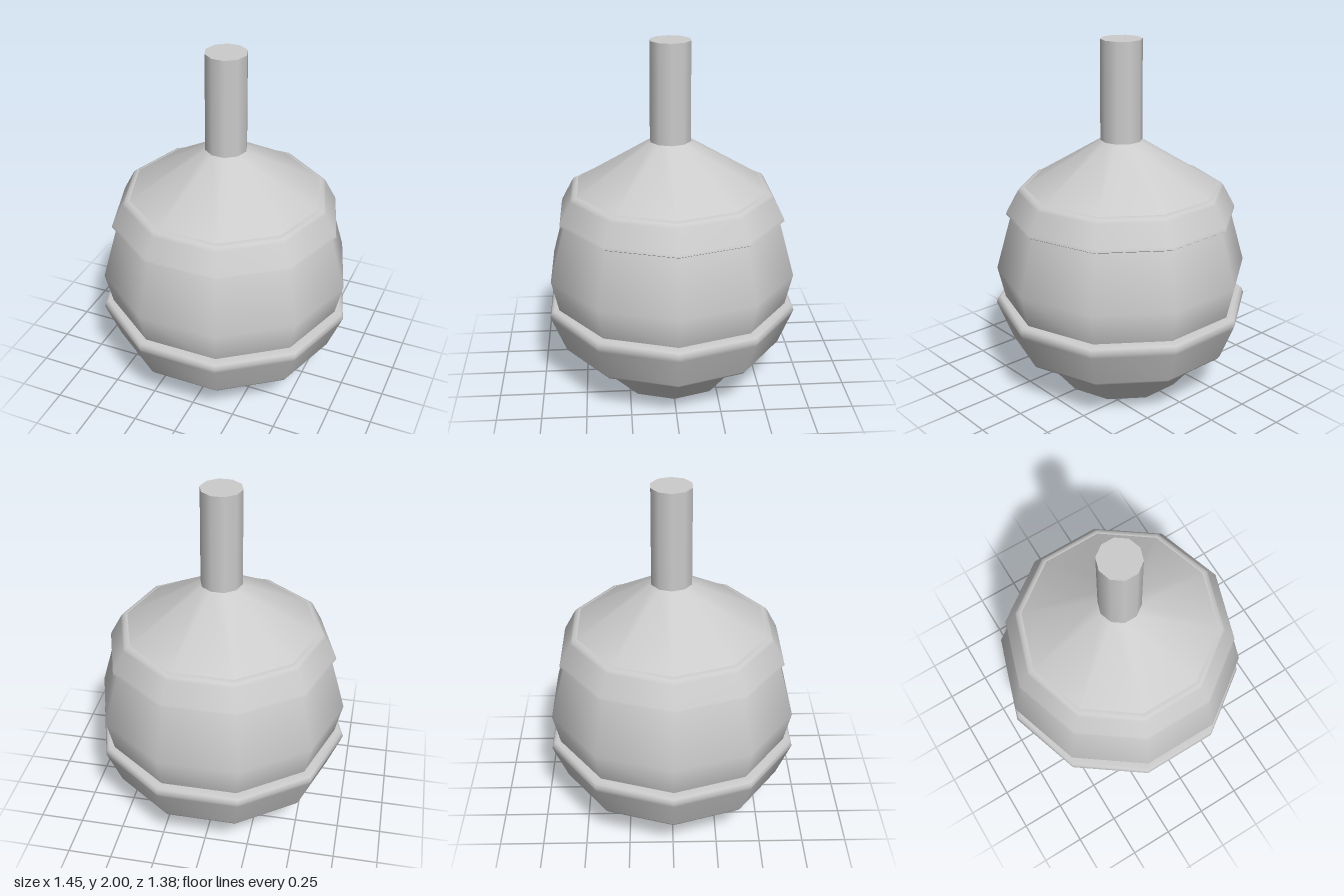
import * as THREE from 'three';

const SIDES = 10;

// Ten-sided turned part; profile is [radius, y], listed bottom to top on the outside.
function turned(name, profile) {
  const points = profile.map(([r, y]) => new THREE.Vector2(r, y));
  const geometry = new THREE.LatheGeometry(points, SIDES, Math.PI / 2);
  const material = new THREE.MeshStandardMaterial({ color: 0xcccccc });
  const mesh = new THREE.Mesh(geometry, material);
  mesh.name = name;
  return mesh;
}

export function createModel() {
  const group = new THREE.Group();
  group.name = 'bulbVessel';

  group.add(
    // Foot: flat underside and flared wall
    turned('footUnderside', [[0, 0], [0.355, 0]]),
    turned('foot', [[0.355, 0], [0.57, 0.26]]),

    // Bulging belly, hidden behind the bands at both ends
    turned('belly', [[0.57, 0.26], [0.67, 0.5], [0.715, 0.7], [0.625, 1.02], [0.54, 1.17]]),

    // Lower band with softened rims
    turned('lowerBand', [
      [0.54, 0.24], [0.6, 0.24], [0.628, 0.247], [0.642, 0.265],
      [0.717, 0.455], [0.727, 0.482], [0.719, 0.508], [0.702, 0.518], [0.64, 0.518],
    ]),

    // Upper band: flat underside, sloping face, rounded top rim
    turned('upperBandUnderside', [[0.6, 1.02], [0.64, 1.017], [0.652, 1.024]]),
    turned('upperBand', [
      [0.652, 1.024], [0.647, 1.04], [0.585, 1.155], [0.573, 1.172], [0.55, 1.181], [0.5, 1.181],
    ]),

    // Conical shoulder and neck
    turned('shoulder', [[0.56, 1.172], [0.115, 1.445]]),
    turned('neck', [[0.117, 1.44], [0.115, 2]]),
    turned('neckTop', [[0.115, 2], [0, 2]]),
  );
  return group;
}
